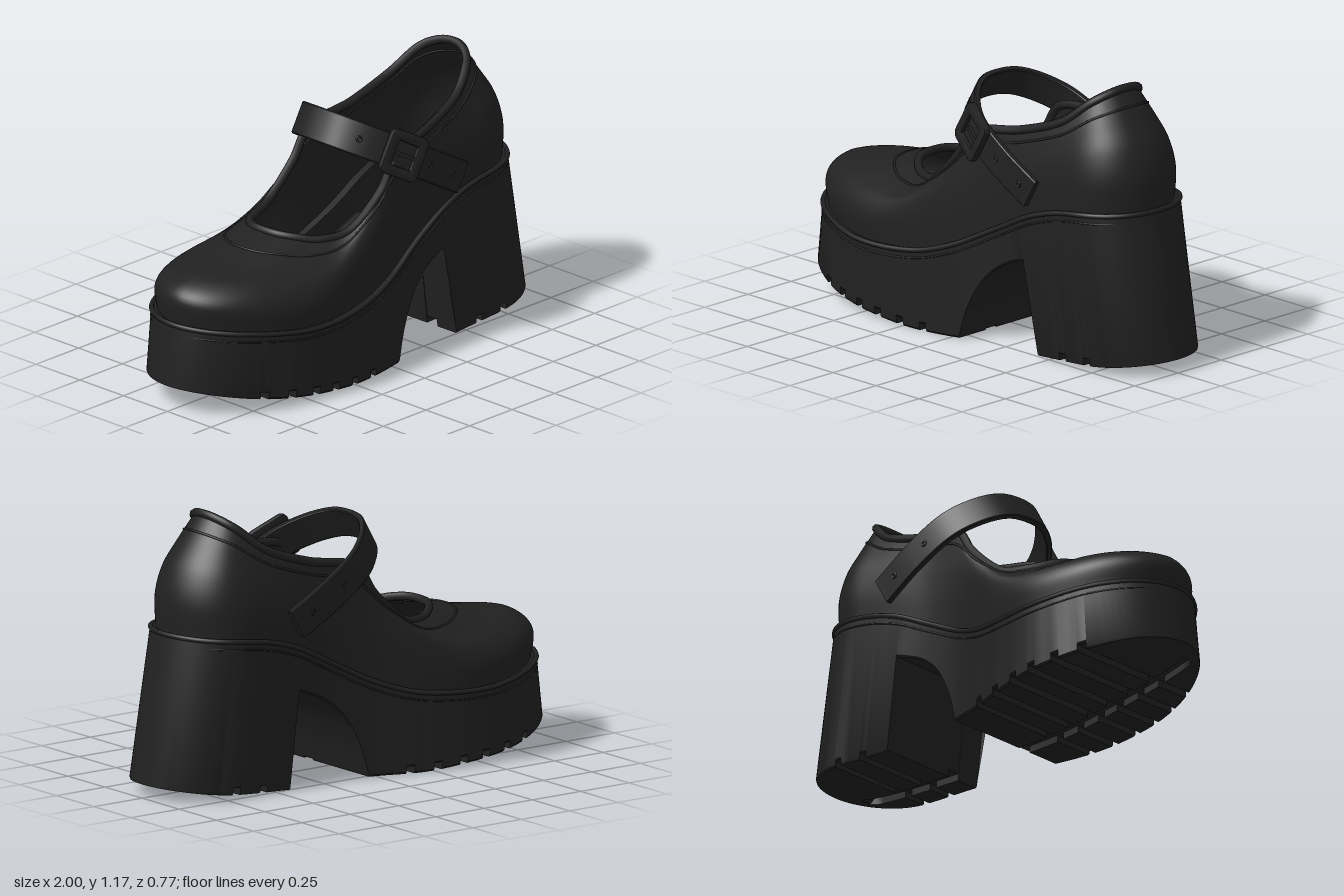
import * as THREE from 'three';
import { toCreasedNormals } from 'three/addons/utils/BufferGeometryUtils.js';

const V = (x, y, z) => new THREE.Vector3(x, y, z);

// Smooth 1D curve through [x, y] points
function curve1(p) {
  const slope = i => {
    const a = p[Math.max(0, i - 1)], b = p[Math.min(p.length - 1, i + 1)];
    return (b[1] - a[1]) / (b[0] - a[0]);
  };
  return x => {
    x = Math.min(Math.max(x, p[0][0]), p[p.length - 1][0]);
    let i = 0;
    while (i < p.length - 2 && x > p[i + 1][0]) i++;
    const d = p[i + 1][0] - p[i][0], t = (x - p[i][0]) / d, s = 1 - t;
    return p[i][1] * (1 + 2 * t) * s * s + p[i + 1][1] * t * t * (3 - 2 * t)
      + d * (slope(i) * t * s * s - slope(i + 1) * t * t * s);
  };
}

// Skin over rows of points, skipping collapsed triangles
function loft(rows, crease) {
  const pos = [], ab = V(), ac = V();
  const tri = (a, b, c) => {
    if (ab.subVectors(b, a).cross(ac.subVectors(c, a)).length() < 1e-9) return;
    for (const q of [a, b, c]) pos.push(q.x, q.y, q.z);
  };
  for (let i = 0; i < rows.length - 1; i++)
    for (let j = 0; j < rows[i].length - 1; j++) {
      const a = rows[i][j], b = rows[i + 1][j], c = rows[i + 1][j + 1], d = rows[i][j + 1];
      tri(a, d, c);
      tri(a, c, b);
    }
  const g = new THREE.BufferGeometry();
  g.setAttribute('position', new THREE.Float32BufferAttribute(pos, 3));
  return toCreasedNormals(g, crease);
}

// Shared outline of the sole: half width, top edge and slight inward/outward lean
function halfWidth(u) {
  if (u < -0.45) return 0.372 * Math.sqrt(Math.max(0, 1 - ((-0.45 - u) / 0.55) ** 1.8));
  if (u > 0.72) return 0.262 * Math.sqrt(Math.max(0, 1 - ((u - 0.72) / 0.28) ** 2.2));
  return 0.372 - 0.11 * THREE.MathUtils.smoothstep(u, -0.45, 0.35);
}
const topX = u => -0.0375 + 0.9275 * u;
const topY = curve1([[-0.965, 0.385], [-0.8, 0.365], [-0.5, 0.335], [-0.2, 0.35], [0, 0.41],
  [0.2, 0.51], [0.4, 0.61], [0.6, 0.665], [0.89, 0.69]]);
const lean = curve1([[-1, -0.06], [-0.6, -0.035], [-0.2, 0.015], [0, 0.06], [0.2, 0.03], [0.5, -0.035], [1, -0.035]]);
const skew = p => { p.z *= 1 + Math.sign(p.z) * lean(p.x); return p; };

// Platform sole and block heel, with tread grooves
function soleGeometry() {
  const cols = [];
  const foreY = curve1([[-1, 0.12], [-0.7, 0.06], [-0.4, 0.025], [-0.2, 0.008], [0.04, 0.012]]);
  const heelY = curve1([[0.44, 0.012], [0.72, 0.03], [1, 0.065]]);
  const add = (x, y, tread) => cols.push({ x, y, tread });
  const groove = (c, f) => {
    for (const [dx, up] of [[-0.06, 0], [-0.018, 0], [-0.018, 1], [0.018, 1], [0.018, 0]])
      add(c + dx, f(c + dx) + up * 0.03, up ? 0 : 1);
  };
  for (let i = 0; i <= 14; i++) { const x = -1 + 0.2 * (i / 14) ** 2; add(x, foreY(x), 1); }
  for (const c of [-0.73, -0.61, -0.49, -0.38, -0.26, -0.14]) groove(c, foreY);
  for (const x of [-0.05, 0.04]) add(x, foreY(x), 1);
  const arch = new THREE.SplineCurve([[0.045, 0.02], [0.08, 0.14], [0.15, 0.27], [0.25, 0.36], [0.39, 0.42]]
    .map(p => new THREE.Vector2(...p)));
  for (const p of arch.getPoints(16)) add(p.x, p.y, 0);
  add(0.44, heelY(0.44), 1);
  for (const c of [0.58, 0.72]) groove(c, heelY);
  for (let i = 0; i <= 16; i++) { const x = 1 - 0.24 * (1 - i / 16) ** 2; add(x, heelY(x), 1); }

  return loft(cols.map(({ x, y, tread }) => {
    const w = halfWidth(x), tx = topX(x), ty = topY(tx), lip = Math.max(0, w - 0.05);
    const g = tread && w > 0.2 ? 0.03 : 0, hi = Math.min(0.15, w * 0.7), lo = Math.min(0.09, w * 0.4);
    return [V(tx, ty, lip), V(tx, ty, w), V(x, y + 0.008, w), V(x, y, w * 0.98), V(x, y, hi), V(x, y + g, hi),
      V(x, y + g, lo), V(x, y, lo), V(x, y, -w * 0.98), V(x, y + 0.008, -w), V(tx, ty, -w), V(tx, ty, -lip)].map(skew);
  }), 0.6);
}

// Opening edge of the upper, toe to heel, mirrored to the other side
const rimHalf = [[-0.43, 0.645, 0], [-0.42, 0.643, 0.07], [-0.38, 0.635, 0.13], [-0.3, 0.62, 0.19],
  [-0.17, 0.64, 0.235], [-0.02, 0.77, 0.25], [0.08, 0.9, 0.245], [0.3, 0.945, 0.215],
  [0.5, 1.015, 0.19], [0.62, 1.11, 0.14], [0.67, 1.15, 0.075], [0.685, 1.162, 0]].map(p => V(...p));
const rim = new THREE.CatmullRomCurve3(
  [...rimHalf, ...rimHalf.slice(1, -1).reverse().map(p => V(p.x, p.y, -p.z))], true, 'catmullrom');

const inward = curve1([[0, 0], [0.25, -0.02], [0.5, 0.17], [0.75, 0.53], [1, 1]]);
const riseToe = curve1([[0, 0], [0.25, 0.45], [0.5, 0.69], [0.75, 0.78], [1, 1]]);
const riseSide = curve1([[0, 0], [0.25, 0.3], [0.5, 0.55], [0.75, 0.76], [1, 1]]);

// Point on the upper: f goes round the shoe (0..1), t climbs from sole to opening
function upperPoint(f, t) {
  const tau = f <= 0.5 ? 2 * f : 2 - 2 * f, side = f <= 0.5 ? 1 : -1;
  const u = -Math.cos(Math.PI * tau), x = topX(u) * 0.975;
  const base = V(x, topY(x) - 0.008, side * halfWidth(u) * 0.945);
  const r = rim.getPoint(f % 1), h = inward(t);
  const v = THREE.MathUtils.lerp(riseSide(t), riseToe(t), Math.max(0, 1 - tau * 2.4));
  return skew(V(base.x + (r.x - base.x) * h, base.y + (r.y - base.y) * v, base.z + (r.z - base.z) * h));
}

function loop(fn, radius, n = 120) {
  const pts = Array.from({ length: n }, (_, i) => fn(i / n));
  return new THREE.TubeGeometry(new THREE.CatmullRomCurve3(pts, true), n * 2, radius, 8, true);
}

export function createModel() {
  const group = new THREE.Group();
  const leather = new THREE.MeshStandardMaterial({ color: 0x212121, side: THREE.DoubleSide });
  leather.name = 'black leather';
  const add = (name, geo, parent = group) => {
    const m = new THREE.Mesh(geo, leather);
    m.name = name;
    parent.add(m);
    return m;
  };

  // Sole and welt
  add('platformSole', soleGeometry());
  const edge = (drop, out) => f => {
    const u = -Math.cos(2 * Math.PI * f), x = topX(u);
    return skew(V(x + out * u, topY(x) - drop, (f <= 0.5 ? 1 : -1) * (halfWidth(u) + out * 0.3)));
  };
  add('welt', loop(edge(0.006, -0.002), 0.011));
  add('weltStitching', loop(edge(0.04, 0.001), 0.004));

  // Upper with padded collar and seam
  const rows = [];
  for (let i = 0; i <= 120; i++)
    rows.push(Array.from({ length: 29 }, (_, j) => upperPoint(i / 120, 1 - j / 28)));
  add('upper', loft(rows, 1.2));
  add('collar', loop(f => upperPoint(f, 1), 0.018));
  add('collarSeam', loop(f => upperPoint(f, 0.86), 0.005));

  // Strap: a U-shaped band lying in a sloping plane
  const along = V(0.869, -0.494, 0), up = V(0.494, 0.869, 0), across = V(0, 0, 1);
  const origin = V(-0.09, 1.01, 0);
  const arm = [[0.02, 0.1], [0.1, 0.195], [0.22, 0.262], [0.4, 0.287], [0.6, 0.285]];
  const path = new THREE.SplineCurve([...arm.slice().reverse().map(([s, z]) => [s, -z - 0.015]), [0, 0], ...arm]
    .map(p => new THREE.Vector2(...p)));
  const centre = path.getPoints(80), inner = [], outer = [];
  centre.forEach((p, i) => {
    const t = path.getTangent(i / 80);
    outer.push(new THREE.Vector2(p.x - t.y * 0.009, p.y + t.x * 0.009));
    inner.push(new THREE.Vector2(p.x + t.y * 0.009, p.y - t.x * 0.009));
  });
  const band = new THREE.ExtrudeGeometry(new THREE.Shape([...outer, ...inner.reverse()]),
    { depth: 0.13, bevelSize: 0.004, bevelThickness: 0.005, bevelSegments: 1 });
  band.translate(0, 0, -0.065);
  band.applyMatrix4(new THREE.Matrix4().makeBasis(along, across, up.clone().negate()).setPosition(origin));
  add('strap', toCreasedNormals(band, 0.6));

  // Frame standing on the strap at curve position k, facing outward
  const onStrap = (name, k) => {
    const p = path.getPoint(k), t = path.getTangent(k);
    const tan = along.clone().multiplyScalar(t.x).addScaledVector(across, t.y).normalize();
    if (t.x < 0) tan.negate();
    const out = tan.clone().cross(up).multiplyScalar(Math.sign(p.y));
    if (p.y < 0) tan.negate();
    const g = new THREE.Group();
    g.name = name;
    g.applyMatrix4(new THREE.Matrix4().makeBasis(tan, up, out)
      .setPosition(origin.clone().addScaledVector(along, p.x).addScaledVector(across, p.y)));
    group.add(g);
    return g;
  };

  // Buckle: rounded frame, prong and strap keeper
  const rounded = (T, w, h, r) => {
    const s = new T();
    s.absarc(w - r, h - r, r, 0, Math.PI / 2);
    s.absarc(r - w, h - r, r, Math.PI / 2, Math.PI);
    s.absarc(r - w, r - h, r, Math.PI, Math.PI * 1.5);
    s.absarc(w - r, r - h, r, Math.PI * 1.5, Math.PI * 2);
    return s;
  };
  const buckle = onStrap('buckle', 0.8);
  const frame = rounded(THREE.Shape, 0.088, 0.09, 0.025);
  frame.holes.push(rounded(THREE.Path, 0.056, 0.058, 0.01));
  add('buckleFrame', toCreasedNormals(new THREE.ExtrudeGeometry(frame,
    { depth: 0.016, bevelSize: 0.006, bevelThickness: 0.006, bevelSegments: 2 }), 0.6), buckle).position.z = 0.02;
  add('bucklePlate', new THREE.BoxGeometry(0.13, 0.125, 0.022), buckle).position.z = 0.014;
  add('buckleProng', new THREE.BoxGeometry(0.1, 0.016, 0.016), buckle).position.set(0.02, 0, 0.034);

  // Eyelets along both arms of the strap
  for (const k of [0.05, 0.14, 0.66, 0.89, 0.96]) {
    const eyelet = add('eyelet', new THREE.TorusGeometry(0.01, 0.004, 6, 16), onStrap('eyeletMount', k));
    eyelet.position.z = 0.013;
  }
  return group;
}
